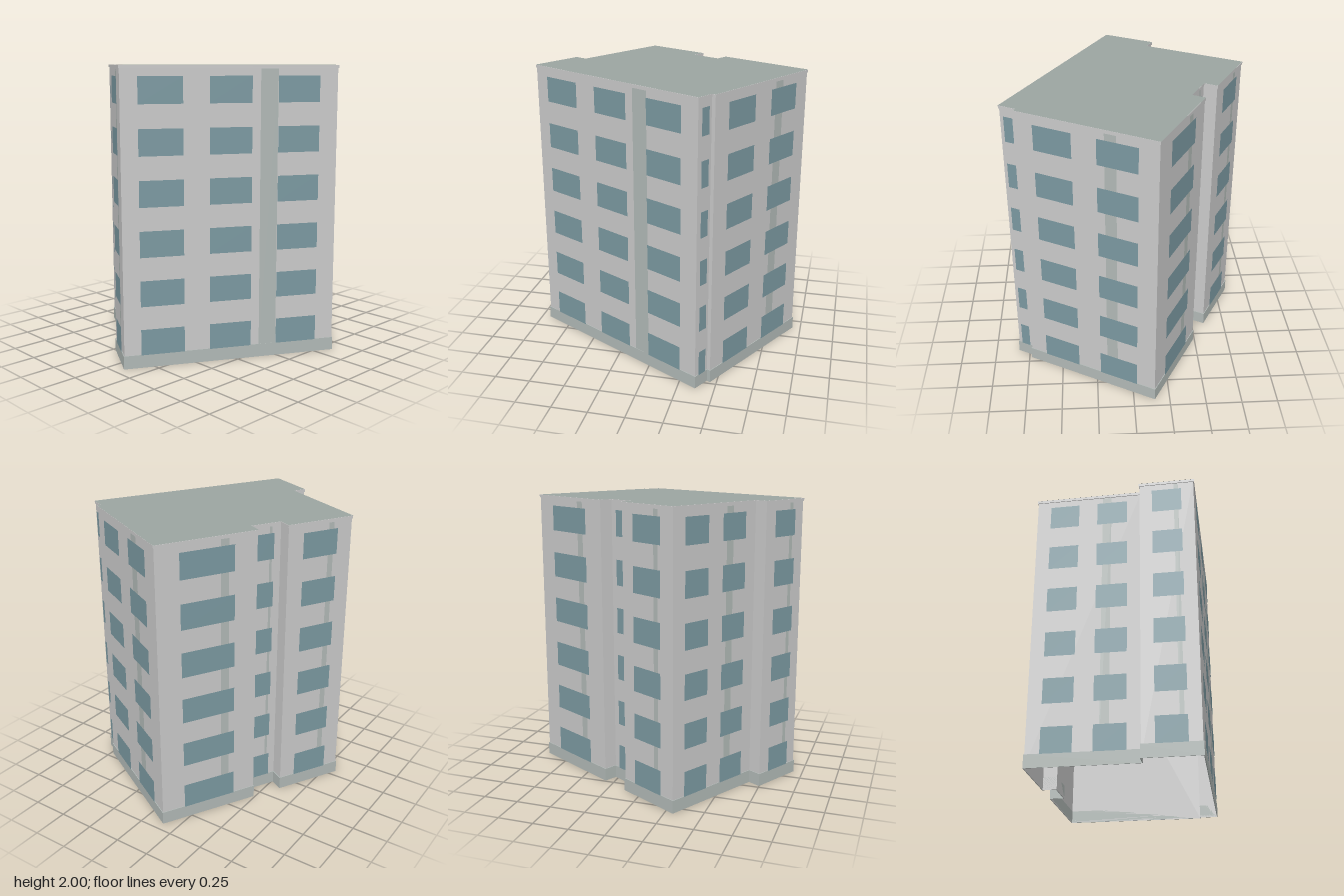
import * as THREE from 'three';
import { mergeGeometries } from 'three/addons/utils/BufferGeometryUtils.js';

// Footprint in the block's own axes (x, z), walked so the outside is on one side.
const PLAN = [
  [-0.577, 0.666], [0.168, 0.666], [0.168, 0.761], [0.543, 0.761],
  [0.543, -0.721], [0.416, -0.721], [0.416, -0.748], [-0.577, -0.748],
  [-0.577, -0.046], [-0.481, -0.046], [-0.481, 0.181], [-0.577, 0.181],
];
const HEIGHT = 2, PLINTH = 0.09, FLOORS = 6, TURN = -0.504;

const mat = (color) => new THREE.MeshStandardMaterial({ color, side: THREE.DoubleSide });

// Each wall: start point, length, direction and outward normal
const WALLS = PLAN.map((a, i) => {
  const b = PLAN[(i + 1) % PLAN.length];
  const length = Math.hypot(b[0] - a[0], b[1] - a[1]);
  const dir = [(b[0] - a[0]) / length, (b[1] - a[1]) / length];
  return { a, length, dir, normal: [-dir[1], dir[0]] };
});

// Footprint grown outwards by d, as 2D points for a shape
function outline(d) {
  return PLAN.map(([x, z], i) => {
    const n = WALLS[i].normal, m = WALLS[(i + PLAN.length - 1) % PLAN.length].normal;
    return new THREE.Vector2(x + (n[0] + m[0]) * d, -(z + (n[1] + m[1]) * d));
  });
}

// Flat panel on a wall, from t0 to t1 along it and y0 to y1 up it
function panel(wall, t0, t1, y0, y1, out) {
  const { a, length, dir, normal } = wall;
  const s = length * (t0 + t1) / 2;
  return new THREE.PlaneGeometry(length * (t1 - t0), y1 - y0)
    .rotateY(Math.atan2(normal[0], normal[1]))
    .translate(a[0] + dir[0] * s + normal[0] * out, (y0 + y1) / 2, a[1] + dir[1] * s + normal[1] * out);
}

// Band running all round the building
function band(d, y0, y1) {
  const shape = new THREE.Shape(outline(d));
  shape.holes.push(new THREE.Path(outline(0)));
  return new THREE.ExtrudeGeometry(shape, { depth: y1 - y0, bevelEnabled: false })
    .rotateX(-Math.PI / 2).translate(0, y0, 0);
}

// Window spans along a wall, chosen by its length
function windowSpans(length) {
  if (length < 0.11) return [];
  if (length < 0.72) return [[0.23, 0.77]];
  if (length < 1.2) return [[0.13, 0.405], [0.58, 0.865]];
  return [[0.077, 0.277], [0.396, 0.592], [0.715, 0.912]];
}

export function createModel() {
  const model = new THREE.Group();
  const block = new THREE.Group();
  block.name = 'apartmentBlock';
  block.rotation.y = TURN;
  model.add(block);

  const add = (name, geometry, material) => {
    const mesh = new THREE.Mesh(geometry, material);
    mesh.name = name;
    block.add(mesh);
  };
  const wallMat = mat(0xcccccc), trimMat = mat(0xb2bab7);
  const glassMat = mat(0x7c9aa2), roofMat = mat(0x9ca5a1);

  // Shell, open underneath
  add('walls', mergeGeometries(WALLS.map((w) => panel(w, 0, 1, 0, HEIGHT, 0))), wallMat);
  add('roof', new THREE.ShapeGeometry(new THREE.Shape(outline(0.005)))
    .rotateX(-Math.PI / 2).translate(0, HEIGHT, 0), roofMat);
  add('roofEdge', band(0.005, 1.98, HEIGHT - 0.001), wallMat);
  add('plinth', band(0.005, 0, PLINTH), trimMat);

  // Windows on every floor, with one vertical strip behind them on each longer wall
  const windows = [], strips = [];
  for (const wall of WALLS) {
    for (const [t0, t1] of windowSpans(wall.length)) {
      for (let f = 0; f < FLOORS; f++) {
        const y = 0.088 + f * HEIGHT / FLOORS;
        windows.push(panel(wall, t0, t1, y, y + 0.176, 0.007));
      }
    }
    if (wall.length > 0.2) strips.push(panel(wall, 0.632, 0.714, PLINTH, 1.975, 0.003));
  }
  add('windows', mergeGeometries(windows), glassMat);
  add('verticalStrips', mergeGeometries(strips), trimMat);
  return model;
}
